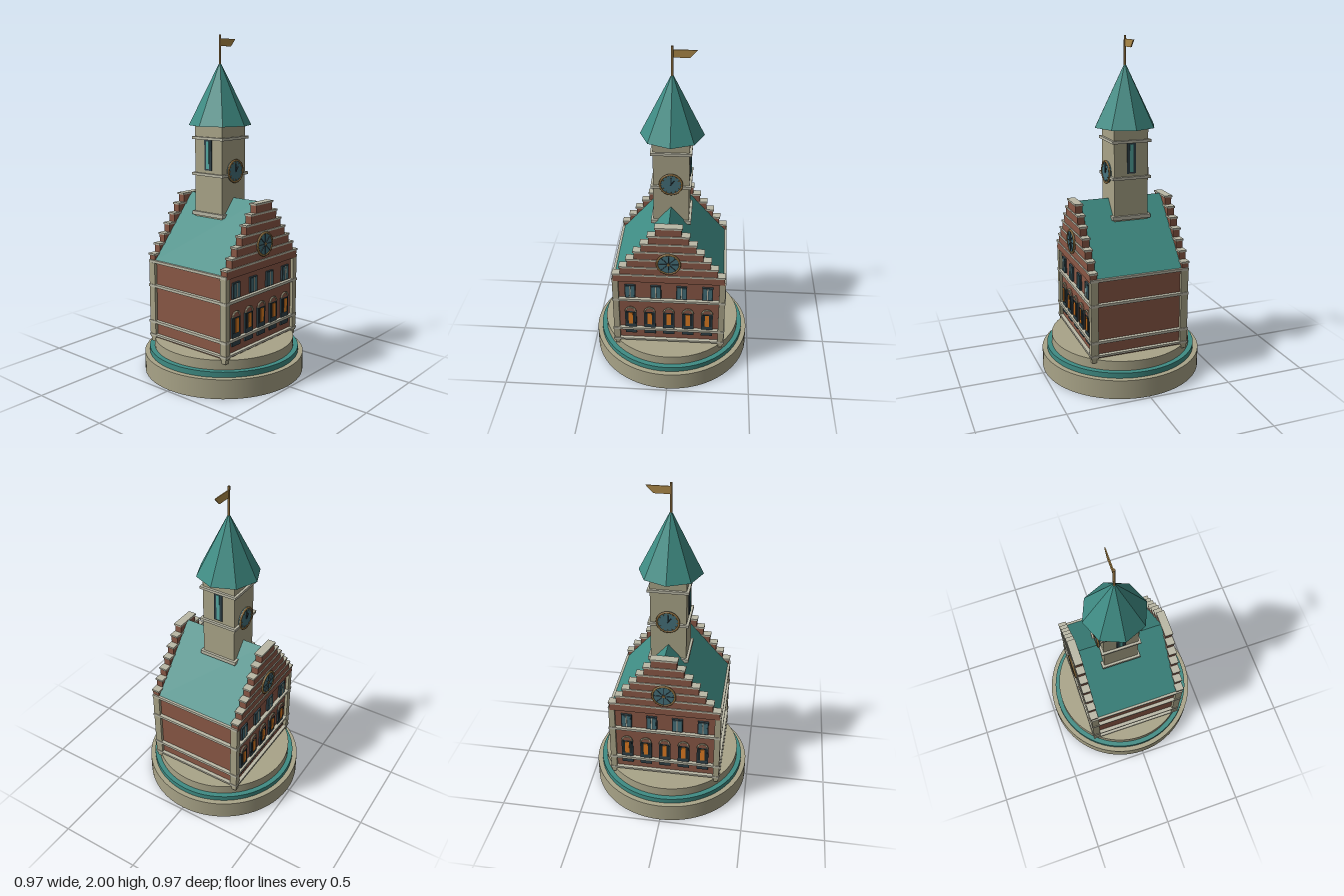
import * as THREE from 'three';

const mat = (color, extra = {}) => {
  const m = new THREE.MeshStandardMaterial({ color, ...extra });
  return m;
};
const STONE = mat(0xa9a488), TRIM = mat(0xbab8a6), BRICK = mat(0x8a5846), SLATE = mat(0x2f4148);
const TEAL = mat(0x3f8c84, { flatShading: true }), GLASS = mat(0x45707a), PANE = mat(0x55a8a2);
const GLOW = mat(0xe07d22), BRONZE = mat(0x86683a), DARK = mat(0x1f2a2e), FLAG = mat(0xae8a4a);

function add(parent, name, geometry, material, x = 0, y = 0, z = 0) {
  const mesh = new THREE.Mesh(geometry, material);
  mesh.name = name;
  mesh.position.set(x, y, z);
  parent.add(mesh);
  return mesh;
}
const box = (parent, name, m, w, h, d, x, y, z) =>
  add(parent, name, new THREE.BoxGeometry(w, h, d), m, x, y, z);

function group(parent, name, x = 0, y = 0, z = 0) {
  const g = new THREE.Group();
  g.name = name;
  g.position.set(x, y, z);
  parent.add(g);
  return g;
}

// Cylinder lying along z, used for round panes
const disc = (r, depth) => new THREE.CylinderGeometry(r, r, depth, 32).rotateX(Math.PI / 2);

// Round window with a ring and radial bars
function roseWindow(parent, x, y, z, r) {
  const g = group(parent, 'roseWindow', x, y, z);
  add(g, 'rosePane', disc(r * 0.92, 0.014), GLASS, 0, 0, 0.002);
  add(g, 'roseRing', new THREE.TorusGeometry(r * 0.91, r * 0.09, 8, 32), BRONZE, 0, 0, 0.007);
  for (let i = 0; i < 4; i++) {
    const bar = box(g, 'roseBar', SLATE, r * 1.75, 0.005, 0.004, 0, 0, 0.01);
    bar.rotation.z = i * Math.PI / 4;
  }
  add(g, 'roseHub', disc(r * 0.12, 0.006), BRONZE, 0, 0, 0.011);
}

// Clock with hour marks and two hands
function clock(parent, x, y, z, r) {
  const g = group(parent, 'clock', x, y, z);
  add(g, 'clockFace', disc(r * 0.92, 0.014), GLASS, 0, 0, 0.002);
  add(g, 'clockRing', new THREE.TorusGeometry(r * 0.91, r * 0.09, 8, 32), BRONZE, 0, 0, 0.007);
  for (let i = 0; i < 12; i++) {
    const a = i * Math.PI / 6;
    const mark = box(g, 'hourMark', BRONZE, 0.004, 0.01, 0.003, Math.sin(a) * r * 0.75, Math.cos(a) * r * 0.75, 0.01);
    mark.rotation.z = -a;
  }
  box(g, 'minuteHand', DARK, 0.005, r * 0.7, 0.004, 0, r * 0.3, 0.011);
  const hand = box(g, 'hourHand', DARK, 0.006, r * 0.5, 0.004, r * 0.12, r * 0.16, 0.011);
  hand.rotation.z = -0.6;
}

function archedWindow(parent, x) {
  const g = group(parent, 'archedWindow', x, 0, 0.28);
  box(g, 'windowFrame', SLATE, 0.07, 0.17, 0.02, 0, 0.355, 0);
  box(g, 'windowDarkPane', DARK, 0.058, 0.09, 0.006, 0, 0.39, 0.01);
  box(g, 'windowGlow', GLOW, 0.026, 0.085, 0.008, 0, 0.39, 0.012);
  const arch = new THREE.CylinderGeometry(0.031, 0.031, 0.02, 16, 1, false, Math.PI / 2, Math.PI)
    .rotateX(Math.PI / 2);
  add(g, 'archInfill', arch, BRICK, 0, 0.44, 0);
  add(g, 'archMoulding', new THREE.TorusGeometry(0.031, 0.005, 6, 16, Math.PI), STONE, 0, 0.44, 0.01);
}

function smallWindow(parent, x) {
  const g = group(parent, 'smallWindow', x, 0.595, 0.28);
  box(g, 'smallFrame', SLATE, 0.064, 0.092, 0.024, 0, 0, 0);
  for (const s of [-1, 1]) box(g, 'smallPane', GLASS, 0.02, 0.078, 0.004, s * 0.015, 0, 0.012);
  box(g, 'smallMullion', TRIM, 0.006, 0.084, 0.006, 0, 0, 0.013);
}

// Street front: windows below, stepped gable above
function facade(parent, turned) {
  const g = group(parent, turned ? 'backFacade' : 'frontFacade');
  g.rotation.y = turned ? Math.PI : 0;
  for (let i = -2; i <= 2; i++) archedWindow(g, i * 0.116);
  for (let i = -1.5; i <= 1.5; i++) smallWindow(g, i * 0.154);
  for (let i = 0; i < 7; i++) {
    const half = 0.335 - i * 0.0425, y = 0.675 + i * 0.0555;
    box(g, 'gableStep', BRICK, half * 2 - 0.012, 0.046, 0.042, 0, y + 0.023, 0.28);
    box(g, 'gableCap', TRIM, half * 2, 0.011, 0.05, 0, y + 0.0505, 0.28);
  }
  roseWindow(g, 0, 0.82, 0.302, 0.073);
}

export function createModel() {
  const model = new THREE.Group();
  model.name = 'clockTowerHouse';

  // Round stepped base
  const base = group(model, 'base');
  for (const [name, m, r, y0, y1] of [
    ['baseDrum', STONE, 0.485, 0, 0.115],
    ['baseRing', mat(0x3f8c84), 0.455, 0.115, 0.147],
    ['basePlatform', STONE, 0.425, 0.147, 0.205],
  ]) add(base, name, new THREE.CylinderGeometry(r, r, y1 - y0, 64), m, 0, (y0 + y1) / 2, 0);

  // Brick body, string courses and corner piers
  const house = group(model, 'house');
  box(house, 'brickBody', BRICK, 0.636, 0.485, 0.56, 0, 0.4425, 0);
  for (const [y, h] of [[0.226, 0.012], [0.31, 0.016], [0.535, 0.016]])
    box(house, 'stringCourse', TRIM, 0.68, h, 0.604, 0, y, 0);
  for (const sx of [-1, 1]) {
    box(house, 'eaveTrim', TRIM, 0.03, 0.016, 0.6, sx * 0.323, 0.684, 0);
    for (const sz of [-1, 1]) {
      box(house, 'cornerPier', STONE, 0.036, 0.465, 0.044, sx * 0.318, 0.4425, sz * 0.277);
      box(house, 'pierFoot', STONE, 0.028, 0.03, 0.034, sx * 0.318, 0.2, sz * 0.277);
    }
  }
  facade(house, false);
  facade(house, true);

  // Pitched roof between the gables
  const pitch = new THREE.Shape([
    new THREE.Vector2(-0.325, 0.69), new THREE.Vector2(0.325, 0.69), new THREE.Vector2(0, 1.064),
  ]);
  add(house, 'roof', new THREE.ExtrudeGeometry(pitch, { depth: 0.52, bevelEnabled: false }), TEAL, 0, 0, -0.26);

  // Square tower with bands, clocks and slit windows
  const tower = group(model, 'tower', 0, 0, -0.03);
  box(tower, 'towerShaft', STONE, 0.208, 0.55, 0.208, 0, 1.215, 0);
  for (const [y, h] of [[0.965, 0.022], [1.2, 0.016], [1.412, 0.016]])
    box(tower, 'towerBand', TRIM, 0.236, h, 0.236, 0, y, 0);
  for (const turned of [0, 1]) {
    const face = group(tower, turned ? 'towerBack' : 'towerFront');
    face.rotation.y = turned * Math.PI;
    clock(face, 0, 1.222, 0.112, 0.07);
    const side = group(tower, turned ? 'towerRight' : 'towerLeft');
    side.rotation.y = Math.PI / 2 + turned * Math.PI;
    box(side, 'slitFrame', SLATE, 0.054, 0.178, 0.016, 0, 1.315, 0.102);
    box(side, 'slitPane', PANE, 0.02, 0.16, 0.004, 0, 1.315, 0.111);
  }

  // Eight-sided spire, pole and swallow-cut flag
  add(tower, 'spire', new THREE.ConeGeometry(0.184, 0.365, 8), TEAL, 0, 1.6675, 0);
  add(tower, 'flagPole', new THREE.CylinderGeometry(0.007, 0.007, 0.17, 12), BRONZE, 0, 1.915, 0);
  const flag = new THREE.Shape([
    new THREE.Vector2(0, 1.937), new THREE.Vector2(0.095, 1.937),
    new THREE.Vector2(0.135, 1.98), new THREE.Vector2(0, 1.98),
  ]);
  add(tower, 'flag', new THREE.ExtrudeGeometry(flag, { depth: 0.006, bevelEnabled: false }), FLAG, 0, 0, -0.003);

  return model;
}
